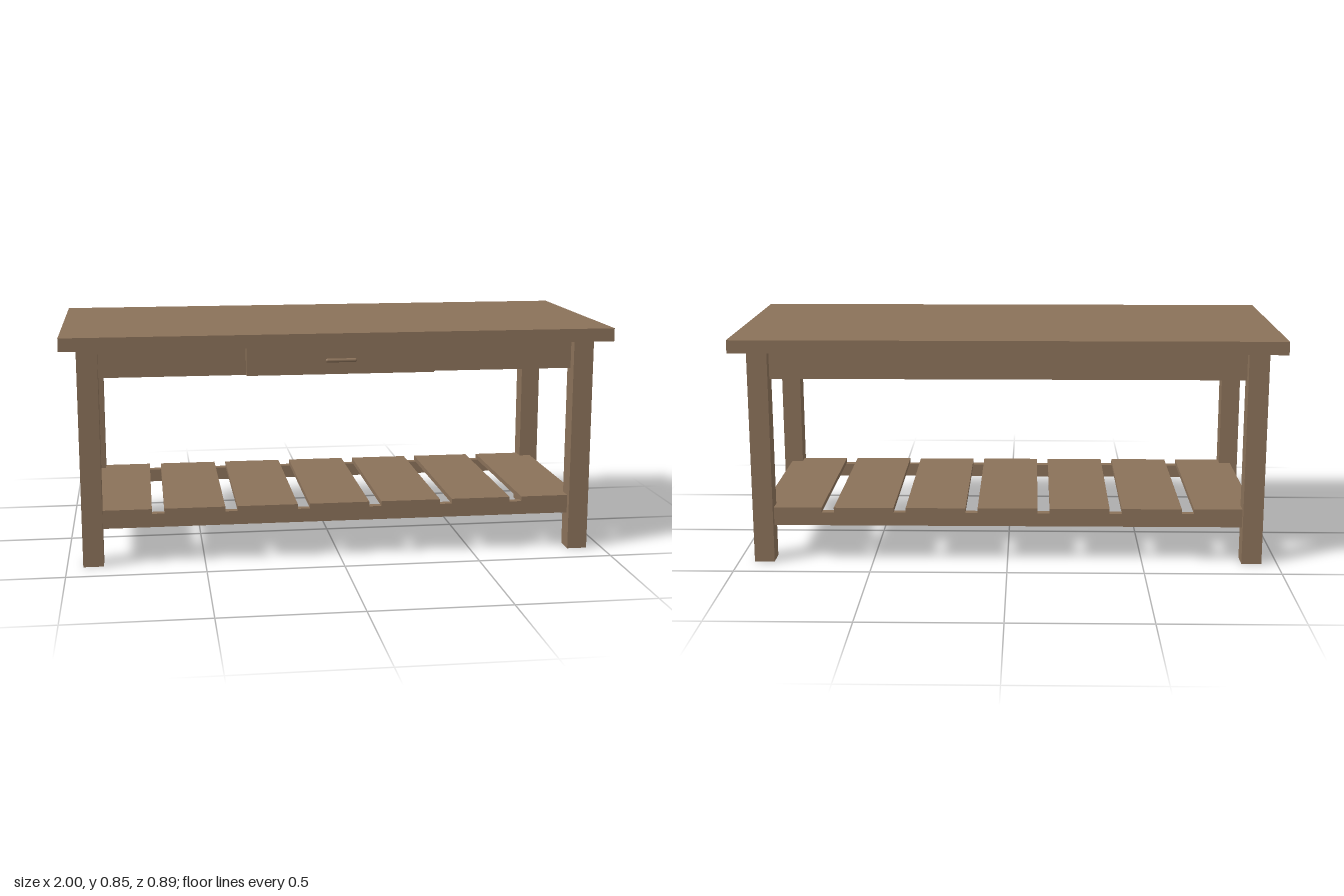
import * as THREE from 'three';

export function createModel() {
  const model = new THREE.Group();
  model.name = 'workTable';
  const wood = new THREE.MeshStandardMaterial({ color: 0x8a7159 });
  wood.name = 'brown wood';

  // Box given by its limits on each axis
  function board(name, [x0, x1], [y0, y1], [z0, z1]) {
    const mesh = new THREE.Mesh(new THREE.BoxGeometry(x1 - x0, y1 - y0, z1 - z0), wood);
    mesh.position.set((x0 + x1) / 2, (y0 + y1) / 2, (z0 + z1) / 2);
    mesh.name = name;
    model.add(mesh);
    return mesh;
  }
  // Limits around a centre
  const span = (centre, size) => [centre - size / 2, centre + size / 2];

  board('tableTop', [-1, 1], [0.797, 0.845], [-0.443, 0.443]);

  for (const s of [-1, 1]) {
    // Legs
    for (const t of [-1, 1]) {
      board('leg', span(s * 0.905, 0.074), [0, 0.797], span(t * 0.35, 0.076));
    }
    // Aprons under the top and the long rails that carry the shelf
    board('sideApron', span(s * 0.905, 0.03), [0.687, 0.795], [-0.312, 0.312]);
    board('longApron', [-0.868, 0.868], [0.687, 0.797], span(s * 0.335, 0.03));
    board('shelfRail', [-0.868, 0.868], [0.135, 0.185], span(s * 0.35, 0.03));
  }

  // Seven spaced shelf slats
  for (let i = -3; i <= 3; i++) {
    board('shelfSlat', span(i * 0.267, 0.222), [0.185, 0.203], [-0.365, 0.365]);
  }

  // Drawer front with a horizontal bar handle on two short posts
  board('drawerFront', [-0.341, 0.341], [0.69, 0.794], [0.345, 0.391]);
  const bar = new THREE.Mesh(new THREE.CapsuleGeometry(0.007, 0.1, 6, 16), wood);
  bar.rotation.z = Math.PI / 2;
  bar.position.set(0, 0.741, 0.399);
  bar.name = 'handleBar';
  model.add(bar);
  for (const s of [-1, 1]) {
    const post = new THREE.Mesh(new THREE.CylinderGeometry(0.005, 0.005, 0.012, 12), wood);
    post.rotation.x = Math.PI / 2;
    post.position.set(s * 0.045, 0.741, 0.394);
    post.name = 'handlePost';
    model.add(post);
  }
  return model;
}
